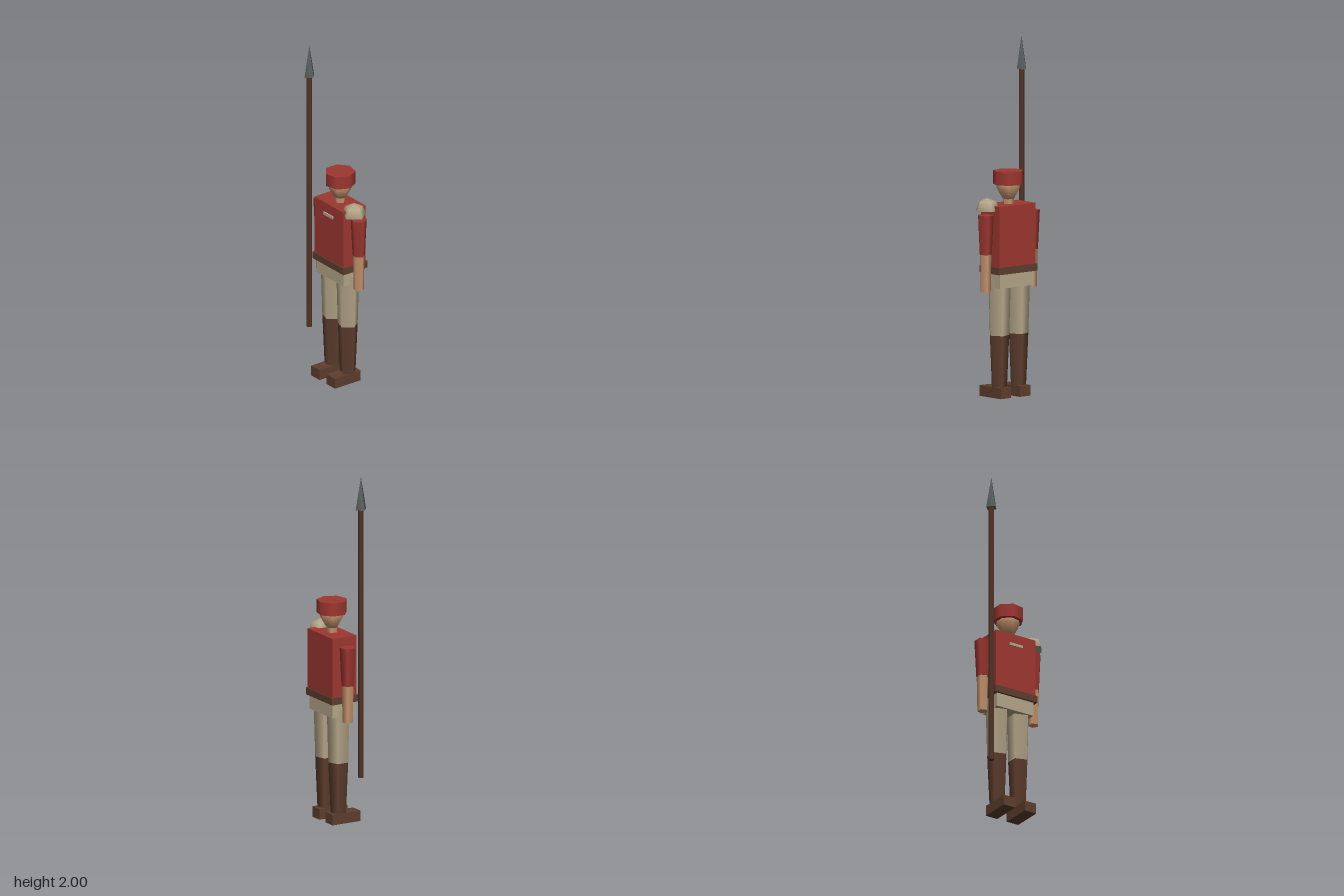
import * as THREE from 'three';

const mat = (name, color) => {
  const m = new THREE.MeshStandardMaterial({ color });
  m.name = name;
  return m;
};

export function createModel() {
  const red = mat('red cloth', 0x9e3731);
  const bone = mat('bone cloth', 0xb5a689);
  const leather = mat('brown leather', 0x5e3e2e);
  const wood = mat('dark wood', 0x553629);
  const skin = mat('skin', 0xc6956f);
  const steel = mat('steel', 0x5c6162);

  const CX = -0.005, CZ = -0.018; // body axis
  const group = new THREE.Group();

  const add = (name, geometry, material, x, y, z) => {
    const mesh = new THREE.Mesh(geometry, material);
    mesh.name = name;
    mesh.position.set(x, y, z);
    group.add(mesh);
    return mesh;
  };
  // Box between two heights
  const box = (name, material, w, d, y0, y1, x, z) =>
    add(name, new THREE.BoxGeometry(w, y1 - y0, d), material, x, (y0 + y1) / 2, z);
  // Tapered prism between two heights, first corner towards +x
  const prism = (name, material, sides, rTop, rBottom, y0, y1, x, z) => {
    const g = new THREE.CylinderGeometry(rTop, rBottom, y1 - y0, sides);
    g.rotateY(Math.PI / 2);
    return add(name, g, material, x, (y0 + y1) / 2, z);
  };

  // Trunk
  box('torso', red, 0.264, 0.155, 0.735, 1.08, CX, CZ);
  box('belt', leather, 0.28, 0.168, 0.70, 0.74, CX, CZ);
  box('hips', bone, 0.242, 0.142, 0.62, 0.70, CX, CZ);
  box('chestBadge', bone, 0.084, 0.009, 1.007, 1.023, -0.006, 0.063);

  // Head
  prism('neck', skin, 5, 0.03, 0.03, 1.06, 1.115, CX, CZ);
  const profile = [[0, 1.096], [0.034, 1.11], [0.068, 1.17], [0.058, 1.21], [0, 1.24]]
    .map(([r, y]) => new THREE.Vector2(r, y));
  const headGeo = new THREE.LatheGeometry(profile, 7);
  headGeo.rotateY(Math.PI / 2);
  add('head', headGeo, skin, CX, 0, CZ);
  prism('cap', red, 7, 0.086, 0.086, 1.19, 1.265, CX, CZ);

  // Limbs
  for (const [side, s] of [['left', 1], ['right', -1]]) {
    const armX = CX + s * 0.169, legX = CX + s * 0.07;
    prism(side + 'Sleeve', red, 5, 0.047, 0.036, 0.81, 1.03, armX, CZ);
    prism(side + 'Forearm', skin, 5, 0.034, 0.03, 0.60, 0.81, armX, CZ);
    prism(side + 'Trouser', bone, 5, 0.067, 0.058, 0.35, 0.665, legX, CZ);
    prism(side + 'Boot', leather, 5, 0.058, 0.045, 0.05, 0.35, legX, CZ);
    box(side + 'Foot', leather, 0.076, 0.18, 0, 0.06, legX, 0.011);
  }

  // Shoulder guard on the left side: a low dome closed underneath
  const dome = new THREE.SphereGeometry(0.071, 5, 2, 0, Math.PI * 2, 0, Math.PI / 2);
  dome.rotateY(Math.PI);
  add('shoulderGuard', dome, bone, 0.139, 1.053, -0.004);
  const base = new THREE.CircleGeometry(0.071, 5);
  base.rotateX(Math.PI / 2);
  add('shoulderGuardBase', base, bone, 0.139, 1.053, -0.004);

  // Spear beside the right hand
  prism('spearShaft', wood, 5, 0.017, 0.017, 0.27, 1.815, -0.174, 0.067);
  prism('spearHead', steel, 4, 0, 0.034, 1.81, 2.0, -0.174, 0.067);

  return group;
}
